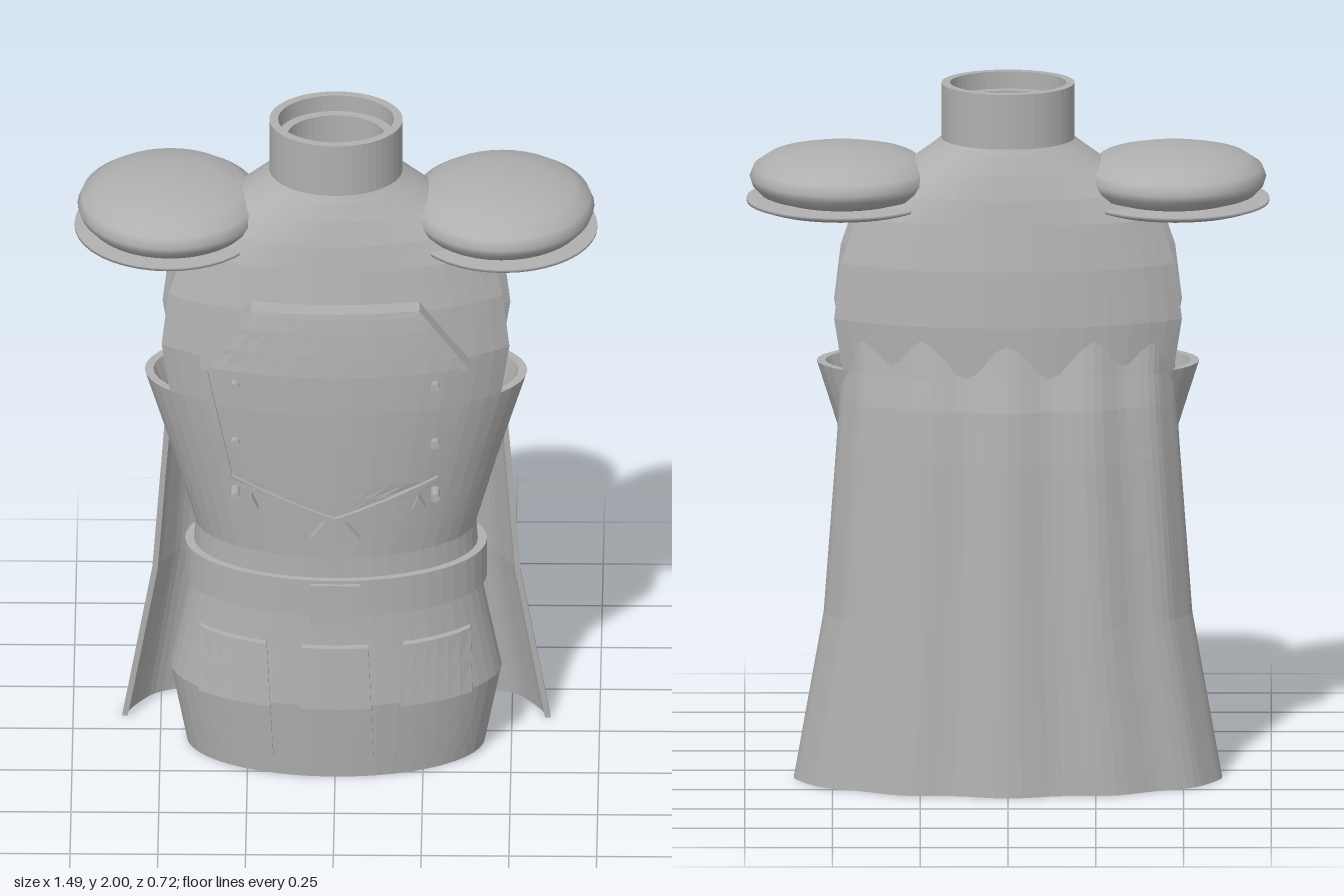
import * as THREE from 'three';

const armour = new THREE.MeshStandardMaterial({ color: 0xb0b0b0, side: THREE.DoubleSide });
armour.name = 'grey armour';
const CZ = 0.04; // depth centre of the body

// Body rings: height, half width, half depth
const BODY = [
  [0, 0.425, 0.24], [0.24, 0.472, 0.262], [0.42, 0.435, 0.25], [0.55, 0.41, 0.243], [0.71, 0.4, 0.243],
  [0.93, 0.463, 0.255], [1.08, 0.51, 0.263], [1.19, 0.545, 0.268], [1.34, 0.572, 0.268], [1.5, 0.55, 0.252],
  [1.63, 0.5, 0.228], [1.7, 0.405, 0.215], [1.77, 0.285, 0.195], [1.82, 0.215, 0.175], [1.84, 0.19, 0.165], [2, 0.19, 0.165],
];
// Cape rows: height, half width, edge depth, back depth
const CAPE = [
  [0, 0.61, -0.08, -0.355], [0.48, 0.525, -0.07, -0.318], [0.95, 0.49, -0.065, -0.277], [1.1, 0.48, -0.06, -0.26],
  [1.19, 0.475, -0.055, -0.238], [1.34, 0.48, -0.05, -0.205], [1.5, 0.46, -0.04, -0.18], [1.64, 0.425, -0.03, -0.15],
];

// Linear lookup in a table sorted by its first column
function sample(table, y) {
  let i = 0;
  while (i < table.length - 2 && y > table[i + 1][0]) i++;
  const p = table[i], q = table[i + 1];
  const t = THREE.MathUtils.clamp((y - p[0]) / (q[0] - p[0]), 0, 1);
  return p.map((v, k) => v + (q[k] - v) * t);
}

// Front surface of the body at x, y
function frontZ(x, y) {
  const [, a, b] = sample(BODY, y);
  return CZ + b * Math.sqrt(Math.max(0, 1 - (x / a) ** 2));
}

// Thick sheet from point(i, j, side): side 0 is the outer face, 1 the inner
function shell(point, nu, nv, wrap = false, hole = () => false) {
  const pos = [];
  const quad = (a, b, c, d) => pos.push(...a, ...b, ...c, ...a, ...c, ...d);
  const solid = (i, j) => {
    if (wrap) i = (i + nu) % nu;
    return i >= 0 && i < nu && j >= 0 && j < nv && !hole(i, j);
  };
  for (let j = 0; j < nv; j++) for (let i = 0; i < nu; i++) {
    if (!solid(i, j)) continue;
    const c = [[i, j], [i + 1, j], [i + 1, j + 1], [i, j + 1]];
    const o = c.map(([u, v]) => point(u, v, 0));
    const n = c.map(([u, v]) => point(u, v, 1));
    quad(...o);
    quad(n[3], n[2], n[1], n[0]);
    [[i, j - 1], [i + 1, j], [i, j + 1], [i - 1, j]].forEach(([u, v], k) => {
      const m = (k + 1) % 4;
      if (!solid(u, v)) quad(o[k], n[k], n[m], o[m]);
    });
  }
  const g = new THREE.BufferGeometry();
  g.setAttribute('position', new THREE.Float32BufferAttribute(pos, 3));
  g.computeVertexNormals();
  return g;
}

// Plate that follows the body front; rows are [y, xMin, xMax], bottom up
function frontPlate(rows, lift, thick, nu, steps) {
  const nv = (rows.length - 1) * steps;
  return shell((i, j, side) => {
    const r = Math.min(Math.floor(j / steps), rows.length - 2);
    const [y, x0, x1] = rows[r].map((v, k) => v + (rows[r + 1][k] - v) * (j / steps - r));
    const x = x0 + (x1 - x0) * i / nu;
    return [x, y, frontZ(x, y) + lift - side * thick];
  }, nu, nv);
}

function ellipseRing(rows, seg, thick) {
  return shell((i, j, side) => {
    const [y, a, b] = rows[j], t = i / seg * Math.PI * 2;
    return [(a - side * thick) * Math.sin(t), y, CZ + (b - side * thick) * Math.cos(t)];
  }, seg, rows.length - 1, true);
}

export function createModel() {
  const model = new THREE.Group();
  model.name = 'caped armour';
  const add = (name, geometry) => {
    const mesh = new THREE.Mesh(geometry, armour);
    mesh.name = name;
    model.add(mesh);
    return mesh;
  };

  // Hollow body with an arm opening on each side
  const seg = 48;
  add('torso', shell((i, j, side) => {
    const [y, a, b] = BODY[j], t = i / seg * Math.PI * 2, k = side * 0.025;
    return [(a - k) * Math.sin(t), y, CZ + (b - k) * Math.cos(t)];
  }, seg, BODY.length - 1, true, (i, j) => {
    const fromSide = Math.abs((i + 0.5) % 24 - 12);
    return fromSide < 4 && j >= 7 && j < 10;
  }));
  add('neckLedge', ellipseRing([[1.9, 0.172, 0.147], [1.95, 0.172, 0.147]], 40, 0.034));

  // Cape with soft vertical folds
  const folds = 48;
  add('cape', shell((i, j, side) => {
    const [y, a, zEdge, zBack] = CAPE[j];
    const t = (i / folds - 0.5) * Math.PI;
    const k = 0.011 * Math.cos(12 * t) * Math.cos(t) - side * 0.016;
    return [(a + k) * Math.sin(t), y, zEdge + (zBack - zEdge - k) * Math.cos(t)];
  }, folds, CAPE.length - 1));

  // Chest plate and its raised border
  const outline = [[0, 0.85], [0.31, 0.97], [0.385, 1.33], [0.24, 1.53], [-0.24, 1.53], [-0.385, 1.33], [-0.31, 0.97]];
  add('chestPlate', frontPlate(outline.slice(0, 4).map(([x, y]) => [y, -x, x]), 0.046, 0.05, 12, 3));
  const sub = 4, n = outline.length * sub;
  add('chestPlateBorder', shell((i, j, side) => {
    const e = Math.floor(i / sub) % outline.length, f = (i % sub) / sub;
    const p = outline[e], q = outline[(e + 1) % outline.length], s = j ? 0.945 : 1;
    const x = (p[0] + (q[0] - p[0]) * f) * s;
    const y = 1.22 + (p[1] + (q[1] - p[1]) * f - 1.22) * s;
    return [x, y, frontZ(x, y) + 0.058 - side * 0.06];
  }, n, 1, true));

  // Rivets
  for (const s of [-1, 1]) for (const y of [0.91, 1.1, 1.29]) {
    const rivet = add('rivet', new THREE.CylinderGeometry(0.013, 0.013, 0.05, 12));
    rivet.rotation.x = Math.PI / 2;
    rivet.position.set(s * 0.285, y, frontZ(0.285, y) + (y < 1 ? 0.03 : 0.042));
  }

  // Hanging diamonds
  const diamond = (name, x, y0, y1, w) => {
    const m = y0 + (y1 - y0) * 0.54;
    add(name, frontPlate([[y0, x, x], [m, x - w, x + w], [y1, x, x]], 0.03, 0.035, 2, 1));
  };
  diamond('centreDiamond', 0, 0.675, 0.88, 0.07);
  for (const s of [-1, 1]) diamond('sideDiamond', s * 0.238, 0.815, 0.91, 0.02);

  // Belt and buckle
  add('belt', ellipseRing([[0.53, 0.43, 0.262], [0.645, 0.43, 0.262]], seg, 0.03));
  const buckle = add('buckle', new THREE.BoxGeometry(0.14, 0.125, 0.03));
  buckle.position.set(0, 0.572, 0.298);

  // Skirt plates
  add('centreSkirtPlate', frontPlate([[0.05, -0.11, 0.11], [0.24, -0.103, 0.103], [0.43, -0.095, 0.095]], 0.022, 0.025, 4, 2));
  for (const s of [-1, 1]) {
    const rows = [[0.05, 0.175, 0.388], [0.24, 0.185, 0.39], [0.43, 0.195, 0.385]];
    add('sideSkirtPlate', frontPlate(rows.map(([y, a, b]) => [y, s * a, s * b]), 0.022, 0.025, 6, 2));
  }

  // Shoulder domes over thin discs
  const lathe = (pts) => new THREE.LatheGeometry(pts.map(([r, y]) => new THREE.Vector2(r, y)), 40);
  for (const s of [-1, 1]) {
    const dome = add('shoulderDome', lathe([[0, 1.665], [0.2, 1.667], [0.25, 1.682], [0.272, 1.705],
      [0.28, 1.727], [0.268, 1.755], [0.225, 1.783], [0.15, 1.801], [0.07, 1.81], [0, 1.812]]));
    dome.scale.x = 0.94;
    dome.position.set(s * 0.473, 0, 0.043);
    const disc = add('shoulderDisc', lathe([[0, 1.63], [0.15, 1.633], [0.24, 1.643], [0.276, 1.655], [0.276, 1.664], [0, 1.668]]));
    disc.scale.x = 0.97;
    disc.position.set(s * 0.477, 0, 0.043);
  }
  return model;
}
